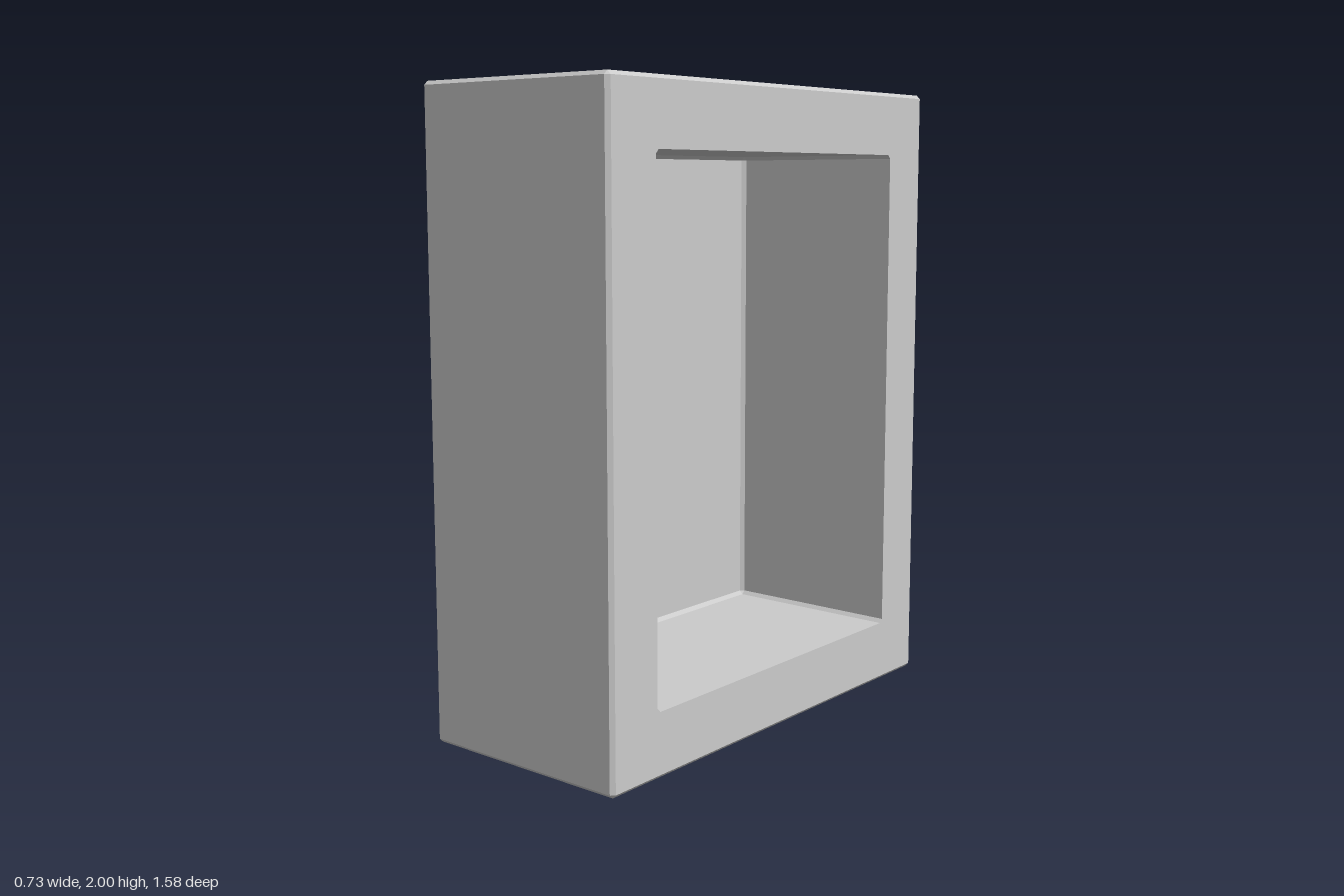
import * as THREE from 'three';

const HALF_X = 0.365; // half thickness of the box
const C = 0.012;      // chamfer on the edges

// Eight-point section in the yz plane, counterclockwise seen from +x.
// c is the corner chamfer, 0 gives a plain rectangle.
function section(x, halfZ, halfY, c) {
  const points = [];
  for (const [sz, sy, flip] of [[-1, -1, 0], [-1, 1, 1], [1, 1, 0], [1, -1, 1]]) {
    const onSide = new THREE.Vector3(x, 1 + sy * (halfY - c), sz * halfZ);
    const onEnd = new THREE.Vector3(x, 1 + sy * halfY, sz * (halfZ - c));
    points.push(...(flip ? [onSide, onEnd] : [onEnd, onSide]));
  }
  return points;
}

// Flat-faced skin through successive sections, skipping collapsed triangles.
function loft(sections) {
  const pos = [];
  const tri = (a, b, c) => {
    const area = b.clone().sub(a).cross(c.clone().sub(a)).length();
    if (area > 1e-8) for (const p of [a, b, c]) pos.push(p.x, p.y, p.z);
  };
  for (let i = 0; i < sections.length - 1; i++) {
    const s = sections[i], t = sections[i + 1];
    for (let j = 0; j < s.length; j++) {
      const k = (j + 1) % s.length;
      tri(s[j], s[k], t[k]);
      tri(s[j], t[k], t[j]);
    }
  }
  const geometry = new THREE.BufferGeometry();
  geometry.setAttribute('position', new THREE.Float32BufferAttribute(pos, 3));
  geometry.computeVertexNormals();
  return geometry;
}

export function createModel() {
  const group = new THREE.Group();
  group.name = 'openBox';
  const material = new THREE.MeshStandardMaterial({ color: 0xcccccc, flatShading: true });
  const add = (name, sections) => {
    const mesh = new THREE.Mesh(loft(sections), material);
    mesh.name = name;
    group.add(mesh);
  };

  const W = 0.79, H = 1;          // outer half sizes along z and y
  const w = 0.597, h = 0.798;     // opening half sizes along z and y
  const floorX = -0.245;          // bottom of the recess

  // Closed side, chamfered outer walls and the flat rim around the opening
  add('outerShell', [
    section(-HALF_X, 0, 0, 0),
    section(-HALF_X, W - C, H - C, 0),
    section(-HALF_X + C, W, H, C),
    section(HALF_X - C, W, H, C),
    section(HALF_X, W - C, H - C, 0),
    section(HALF_X, w, h, C),
  ]);

  // Recess walls with chamfered inner edges and its back panel
  add('recess', [
    section(HALF_X, w, h, C),
    section(floorX + C, w, h, C),
    section(floorX, w - C, h - C, 0),
    section(floorX, 0, 0, 0),
  ]);

  return group;
}
